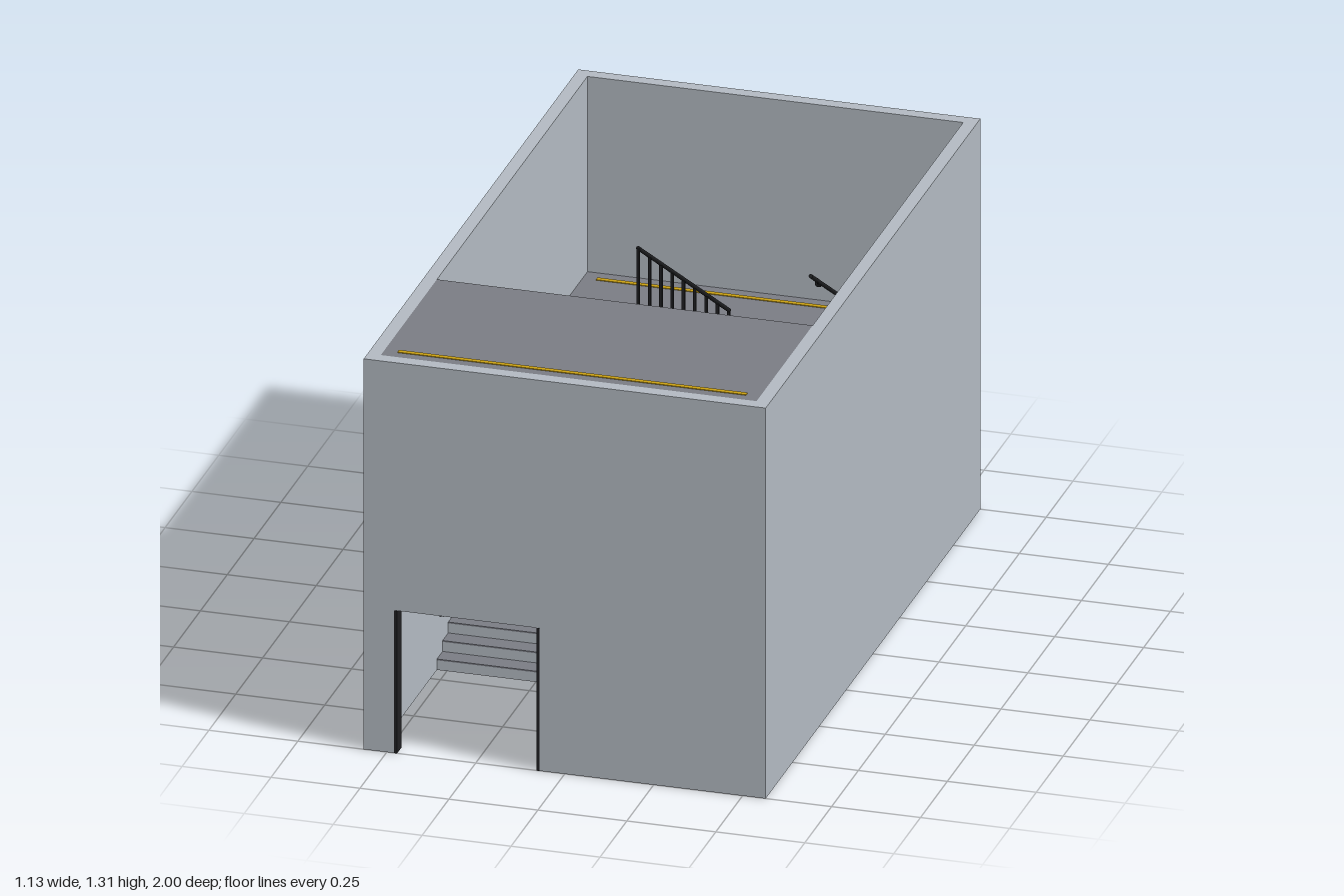
import * as THREE from 'three';

const mat = (name, color, extra = {}) => {
  const m = new THREE.MeshStandardMaterial({ color, ...extra });
  m.name = name;
  return m;
};

export function createModel() {
  const wallMat = mat('pale concrete', 0xb2b9c1);
  const floorMat = mat('dark floor', 0x7a7c84);
  const yellowMat = mat('safety yellow', 0xc99f12);
  const railMat = mat('black metal', 0x1e1f21);

  const model = new THREE.Group();
  model.name = 'stairwell';

  // Box given by its lower and upper limits on each axis
  const box = (parent, name, material, x0, x1, y0, y1, z0, z1) => {
    const mesh = new THREE.Mesh(new THREE.BoxGeometry(x1 - x0, y1 - y0, z1 - z0), material);
    mesh.position.set((x0 + x1) / 2, (y0 + y1) / 2, (z0 + z1) / 2);
    mesh.name = name;
    parent.add(mesh);
    return mesh;
  };

  // Round bar between two points
  const bar = (parent, name, a, b, radius) => {
    const dir = b.clone().sub(a);
    const mesh = new THREE.Mesh(new THREE.CylinderGeometry(radius, radius, dir.length(), 8), railMat);
    mesh.position.copy(a).add(b).multiplyScalar(0.5);
    mesh.quaternion.setFromUnitVectors(new THREE.Vector3(0, 1, 0), dir.normalize());
    mesh.name = name;
    parent.add(mesh);
  };

  const W = 0.565, H = 1.15, IX = 0.528, IZ = 0.963;
  const MID = H / 2, PLATE = 0.004;
  const doorL = -0.475, doorR = -0.075, doorTop = 0.42;

  // Outer walls, with a doorway in the front
  const walls = new THREE.Group();
  walls.name = 'walls';
  model.add(walls);
  box(walls, 'leftWall', wallMat, IX, W, 0, H, -1, 1);
  box(walls, 'rightWall', wallMat, -W, -IX, 0, H, -1, 1);
  box(walls, 'backWall', wallMat, -IX, IX, 0, H, -1, -IZ);
  const front = new THREE.Shape([
    [-IX, 0], [doorL, 0], [doorL, doorTop], [doorR, doorTop],
    [doorR, 0], [IX, 0], [IX, H], [-IX, H],
  ].map(([x, y]) => new THREE.Vector2(x, y)));
  const frontWall = new THREE.Mesh(
    new THREE.ExtrudeGeometry(front, { depth: 1 - IZ, bevelEnabled: false }), wallMat);
  frontWall.position.z = IZ;
  frontWall.name = 'frontWall';
  walls.add(frontWall);

  // Door jambs
  for (const x of [doorL, doorR]) {
    box(model, 'doorJamb', railMat, x - 0.004, x + 0.004, 0, doorTop, IZ - 0.002, 1.001);
  }

  // Landings: a solid one at the back, a slab at the top front
  const zBack = -0.456, zFront = 0.44;
  box(model, 'middleLanding', wallMat, -IX, IX, 0, MID - PLATE, -IZ, zBack);
  box(model, 'middleLandingFloor', floorMat, -IX, IX, MID - PLATE, MID, -IZ, zBack);
  box(model, 'topLanding', wallMat, -IX, IX, H - 0.064, H - PLATE, zFront, IZ);
  box(model, 'topLandingFloor', floorMat, -IX, IX, H - PLATE, H, zFront, IZ);
  box(model, 'middleWarningStrip', yellowMat, -0.49, 0.49, MID, MID + 0.002, -0.93, -0.915);
  box(model, 'topWarningStrip', yellowMat, -0.49, 0.49, H, H + 0.002, 0.92, 0.935);

  // A flight rises along its own +z, on its +x side
  const steps = 17;
  const run = (zFront - zBack) / steps, rise = MID / (steps + 1);
  const half = (zFront - zBack) / 2, slope = MID / (zFront - zBack);
  const makeFlight = (name, solid, hasNosing) => {
    const flight = new THREE.Group();
    flight.name = name;
    const x0 = 0.02, x1 = IX, inner = 0.03, outer = 0.515;
    const railY = (z) => 0.728 + (z - 0.423) * slope;

    for (let i = 0; i < steps; i++) {
      const z0 = -half + i * run, z1 = z0 + run, top = (i + 1) * rise;
      const bottom = solid ? 0 : top - 2 * rise;
      box(flight, 'step', wallMat, x0, x1, bottom, top - PLATE, z0, z1);
      box(flight, 'tread', floorMat, x0, x1, top - PLATE, top, z0, z1);
      if (hasNosing(i)) {
        box(flight, 'nosing', yellowMat, x0, x1, top - 0.005, top + 0.001, z0 - 0.001, z0 + 0.011);
      }
      // Posts on the open side, brackets on the wall side
      const zc = i === steps - 1 ? 0.423 : (z0 + z1) / 2;
      if (i % 2 === 0) {
        box(flight, 'railPost', railMat, inner - 0.004, inner + 0.004, top, railY(zc), zc - 0.004, zc + 0.004);
      }
      if (i % 5 === 0) {
        const y = railY(zc) - 0.035;
        box(flight, 'railBracket', railMat, outer, x1, y - 0.003, y + 0.003, zc - 0.003, zc + 0.003);
        box(flight, 'bracketStem', railMat, outer - 0.003, outer + 0.003, y, y + 0.02, zc - 0.003, zc + 0.003);
      }
    }
    for (const [railName, x, drop] of [['openHandrail', inner, 0], ['wallHandrail', outer, 0.02]]) {
      bar(flight, railName,
        new THREE.Vector3(x, railY(-0.423) - drop, -0.423),
        new THREE.Vector3(x, railY(0.423) - drop, 0.423), 0.006);
    }
    flight.position.z = (zFront + zBack) / 2;
    model.add(flight);
    return flight;
  };

  const lower = makeFlight('lowerFlight', true, (i) => [4, 9, 16].includes(i));
  lower.rotation.y = Math.PI;
  const upper = makeFlight('upperFlight', false, () => true);
  upper.position.y = MID;

  return model;
}
